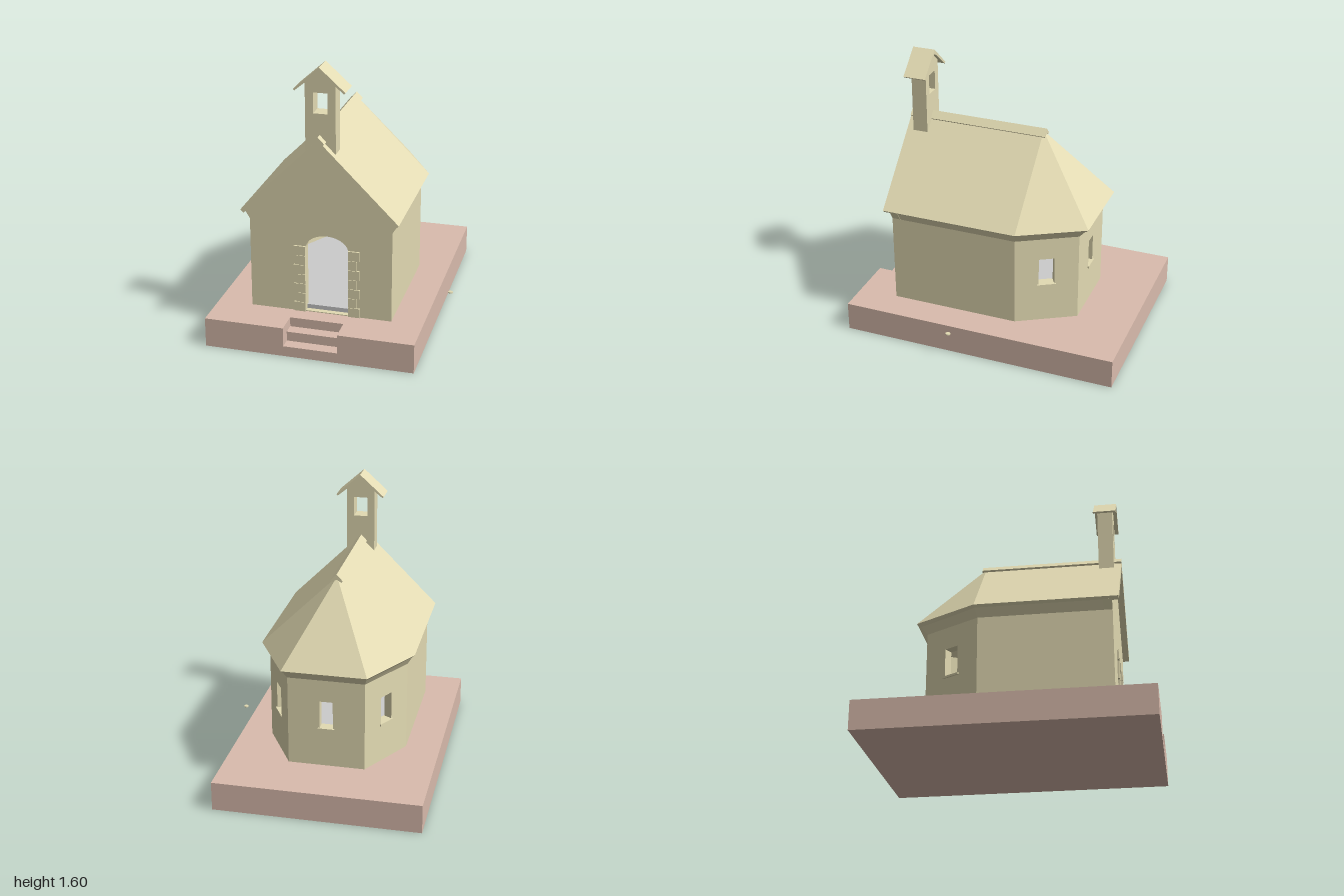
import * as THREE from 'three';

const mat = (color) => new THREE.MeshStandardMaterial({ color, side: THREE.DoubleSide, flatShading: true });
const stone = mat(0xe3dbb3), earth = mat(0xdabcad), grey = mat(0xcccccc);

function add(parent, name, geometry, material, x = 0, y = 0, z = 0) {
  const mesh = new THREE.Mesh(geometry, material);
  mesh.name = name;
  mesh.position.set(x, y, z);
  parent.add(mesh);
  return mesh;
}

const outline = (pts) => new THREE.Shape(pts.map(([x, y]) => new THREE.Vector2(x, y)));

const rect = (x0, y0, x1, y1) => outline([[x0, y0], [x1, y0], [x1, y1], [x0, y1]]);

const extrude = (shape, depth) => new THREE.ExtrudeGeometry(shape, { depth, bevelEnabled: false, curveSegments: 16 });

// Flat convex polygons, each split as a fan
function polygons(faces) {
  const pos = [];
  for (const f of faces)
    for (let i = 1; i < f.length - 1; i++) pos.push(...f[0], ...f[i], ...f[i + 1]);
  const g = new THREE.BufferGeometry();
  g.setAttribute('position', new THREE.Float32BufferAttribute(pos, 3));
  g.computeVertexNormals();
  return g;
}

// Six-sided plan, counter-clockwise seen from above, starting at the front left
const plan = (side, front, knee, backHalf, back) => [
  [-side, front], [side, front], [side, knee], [backHalf, back], [-backHalf, back], [-side, knee]];
const ring = (p, y) => p.map(([x, z]) => [x, y, z]);

// Upside-down V section for roofs and the ridge cap
const chevron = (half, eave, apex, thick) => outline([
  [-half, eave], [-half + thick * 0.3, eave - thick * 0.3], [0, apex - thick],
  [half - thick * 0.3, eave - thick * 0.3], [half, eave], [0, apex]]);

function buildBase(parent) {
  const w = 0.592, d = 0.81;
  const layer = (name, y0, y1, notch) => {
    const pts = [[-w, d], [-w, -d], [w, -d], [w, d]];
    if (notch) pts.push([0.165, d], [0.165, notch], [-0.14, notch], [-0.14, d]);
    const g = extrude(outline(pts.map(([x, z]) => [x, -z])), y1 - y0);
    g.rotateX(-Math.PI / 2);
    add(parent, name, g, earth, 0, y0, 0);
  };
  layer('baseBottom', 0, 0.06);
  layer('baseLowerStep', 0.06, 0.115, 0.742);
  layer('baseTop', 0.115, 0.17, 0.676);
}

function buildWalls(parent, walls) {
  const thick = 0.05, y0 = 0.17, y1 = 0.7;
  walls.forEach((a, i) => {
    const b = walls[(i + 1) % 6];
    const dx = b[0] - a[0], dz = b[1] - a[1], half = Math.hypot(dx, dz) / 2;
    const panel = new THREE.Group();
    panel.position.set((a[0] + b[0]) / 2, 0, (a[1] + b[1]) / 2);
    panel.rotation.y = Math.atan2(-dz, dx);
    panel.name = i === 0 ? 'frontGable' : 'wall';
    parent.add(panel);

    let shape = rect(-half, y0, half, y1 + 0.04);
    if (i === 0) {
      // Gable with an arched doorway
      shape = outline([[-half, y0], [half, y0], [half, y1], [0.433, 0.75], [0, 1.175], [-0.433, 0.75], [-half, y1]]);
      const door = new THREE.Path();
      const c = 0.036, r = 0.122;
      door.moveTo(c - r, y0 + 0.005);
      door.lineTo(c + r, y0 + 0.005);
      door.lineTo(c + r, 0.555);
      door.absellipse(c, 0.555, r, 0.085, 0, Math.PI, false);
      door.lineTo(c - r, y0 + 0.005);
      shape.holes.push(door);
      // Door jamb stones, alternating long and short
      for (const s of [-1, 1])
        for (let k = 0; k < 7; k++) {
          const w = k % 2 ? 0.05 : 0.066;
          add(panel, 'jambStone', new THREE.BoxGeometry(w, 0.055, 0.012), stone,
            c + s * (r + w / 2), y0 + 0.0285 + k * 0.057, 0.004);
        }
    } else if (i >= 2 && i <= 4) {
      // Windows in the three end walls
      const w = i === 3 ? 0.038 : 0.045;
      shape.holes.push(rect(-w, 0.4, w, 0.57));
      add(panel, 'windowSill', new THREE.BoxGeometry(w * 2 + 0.02, 0.012, 0.062), stone, 0, 0.4, -0.023);
    }
    add(panel, 'wallPanel', extrude(shape, thick), stone, 0, 0, -thick);
  });

  // Inner floor
  const floor = extrude(outline(walls.map(([x, z]) => [x * 0.95, -z * 0.95])), 0.03);
  floor.rotateX(-Math.PI / 2);
  add(parent, 'floor', floor, grey, 0, 0.17, 0);
}

function buildRoof(parent, walls) {
  const front = 0.617, eaves = plan(0.445, front, -0.184, 0.242, -0.545);
  const slopes = (e, a, b) => [
    [e[1], e[2], b, a], [e[2], e[3], b], [e[3], e[4], b], [e[4], e[5], b], [e[5], e[0], a, b]];
  const top = ring(eaves, 0.762);
  const under = ring(plan(0.427, front, -0.178, 0.232, -0.53), 0.745);
  const ridge = [[0, 1.205, front], [0, 1.205, -0.19]];
  const inner = [[0, 1.165, front], [0, 1.165, -0.19]];
  const faces = [...slopes(top, ...ridge), ...slopes(under, ...inner).map((f) => f.reverse())];
  for (let i = 1; i < 6; i++) {
    const j = (i + 1) % 6;
    faces.push([under[i], under[j], top[j], top[i]]);
  }
  // Front verges
  faces.push([top[1], ridge[0], inner[0], under[1]], [ridge[0], top[0], under[0], inner[0]]);
  add(parent, 'roof', polygons(faces), stone);

  // Cornice flaring out below the eaves
  const low = ring(walls, 0.7);
  const high = ring(plan(0.433, 0.58, -0.18, 0.236, -0.53), 0.752);
  const cornice = [];
  for (let i = 1; i < 6; i++) {
    const j = (i + 1) % 6;
    cornice.push([low[i], low[j], high[j], high[i]]);
  }
  add(parent, 'cornice', polygons(cornice), stone);

  add(parent, 'ridgeCap', extrude(chevron(0.036, 1.185, 1.222, 0.03), 0.825), stone, 0, 0, front - 0.825);
}

function buildBelfry(parent) {
  const belfry = new THREE.Group();
  belfry.name = 'belfry';
  belfry.position.set(0.004, 0, 0.532);
  parent.add(belfry);
  const tower = outline([[-0.084, 1.12], [0.084, 1.12], [0.084, 1.505], [0, 1.585], [-0.084, 1.505]]);
  tower.holes.push(rect(-0.04, 1.34, 0.04, 1.455));
  add(belfry, 'belfryTower', extrude(tower, 0.088), stone, 0, 0, -0.044);
  add(belfry, 'belfryRoof', extrude(chevron(0.143, 1.472, 1.6, 0.025), 0.132), stone, 0, 0, -0.066);
}

export function createModel() {
  const root = new THREE.Group();
  root.name = 'chapel';
  const site = new THREE.Group();
  site.name = 'site';
  site.rotation.y = -0.531;
  root.add(site);
  buildBase(site);

  const building = new THREE.Group();
  building.name = 'building';
  building.position.x = 0.01;
  site.add(building);
  const walls = plan(0.403, 0.58, -0.168, 0.22, -0.487);
  buildWalls(building, walls);
  buildRoof(building, walls);
  buildBelfry(building);

  // Small loose disc beside the base
  add(root, 'looseDisc', new THREE.CylinderGeometry(0.014, 0.014, 0.006, 12), stone, 0.5, 0.169, 0.455);
  return root;
}
